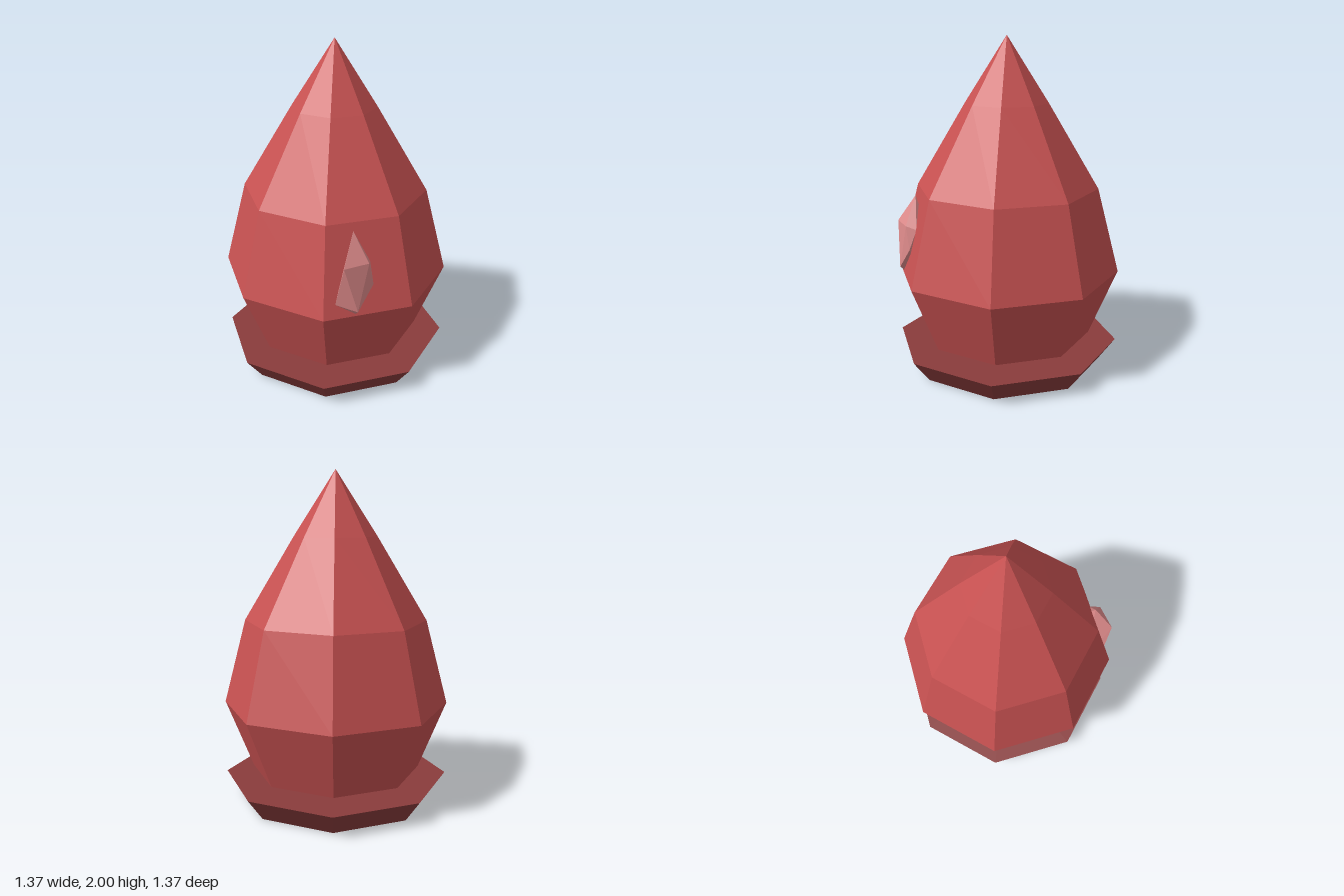
import * as THREE from 'three';
import { ConvexGeometry } from 'three/addons/geometries/ConvexGeometry.js';

const SIDES = 8;

function material(name, color) {
  const m = new THREE.MeshStandardMaterial({ color, flatShading: true });
  m.name = name;
  return m;
}

// Faceted solid of revolution from [radius, height] pairs, bottom to top
function faceted(profile) {
  const points = profile.map(([r, y]) => new THREE.Vector2(r, y));
  const geometry = new THREE.LatheGeometry(points, SIDES).toNonIndexed();
  geometry.computeVertexNormals();
  return geometry;
}

export function createModel() {
  const group = new THREE.Group();
  const red = material('red', 0xc95252);
  const darkRed = material('dark red', 0x8a3c3c);
  const pink = material('pink', 0xe08c8c);

  const add = (name, geometry, mat) => {
    const mesh = new THREE.Mesh(geometry, mat);
    mesh.name = name;
    group.add(mesh);
  };

  // Flared dish under the drop
  add('base', faceted([[0, 0], [0.585, 0], [0.686, 0.137], [0, 0.137]]), darkRed);

  // Pointed drop body
  add('body', faceted([
    [0, 0.13], [0.39, 0.13], [0.517, 0.177], [0.686, 0.59],
    [0.552, 1.105], [0.25, 1.61], [0, 2],
  ]), red);

  // Small faceted highlight half sunk into the front right face
  const gem = [
    [-0.27, 1.07, 0.48],
    [-0.385, 0.9, 0.54], [-0.235, 0.9, 0.575], [-0.187, 0.88, 0.53],
    [-0.3, 0.87, 0.45], [-0.235, 0.97, 0.465],
    [-0.2, 0.76, 0.575], [-0.315, 0.625, 0.578], [-0.408, 0.67, 0.495],
    [-0.375, 0.62, 0.445], [-0.24, 0.66, 0.53], [-0.31, 0.59, 0.54],
  ].map((p) => new THREE.Vector3(...p));
  add('highlight', new ConvexGeometry(gem), pink);

  return group;
}
